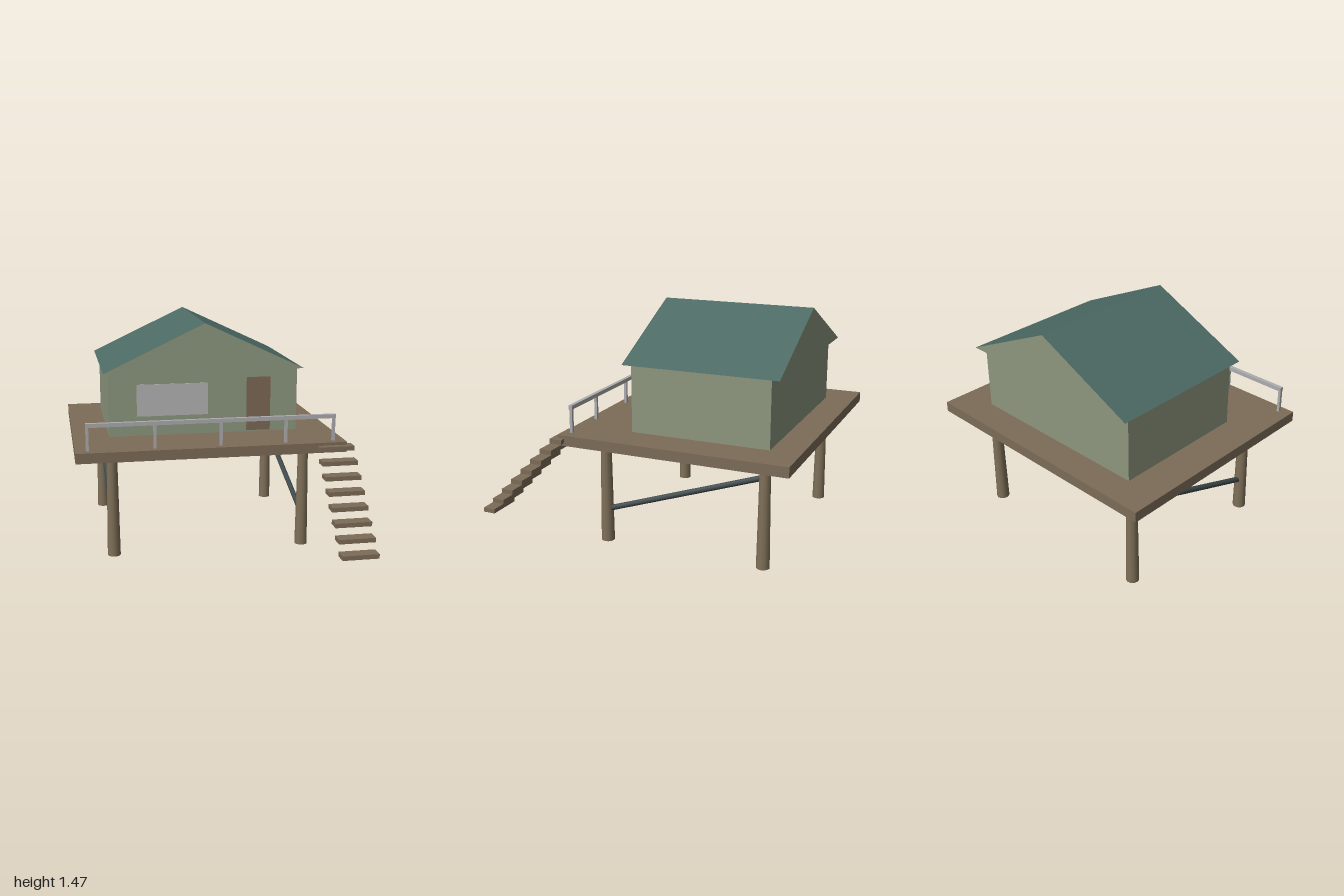
import * as THREE from 'three';

const mat = (name, color) => {
  const m = new THREE.MeshStandardMaterial({ color });
  m.name = name;
  return m;
};

export function createModel() {
  const model = new THREE.Group();
  model.name = 'stiltHouse';

  const wood = mat('deck wood', 0x7d6c58);
  const pole = mat('pole wood', 0x7f7058);
  const wall = mat('wall green', 0x8d977f);
  const roofing = mat('roof teal', 0x4c6a64);
  const glass = mat('window grey', 0xb5b5b5);
  const metal = mat('railing grey', 0xadadb0);
  const steel = mat('brace steel', 0x404b4d);
  const doorWood = mat('door brown', 0x7d6955);

  const add = (name, geometry, material) => {
    const mesh = new THREE.Mesh(geometry, material);
    mesh.name = name;
    model.add(mesh);
    return mesh;
  };
  // Box given by its extents along each axis
  const box = (name, material, [x0, x1], [y0, y1], [z0, z1]) =>
    add(name, new THREE.BoxGeometry(x1 - x0, y1 - y0, z1 - z0), material)
      .position.set((x0 + x1) / 2, (y0 + y1) / 2, (z0 + z1) / 2);

  const deckBottom = 0.673, deckTop = 0.738, eaves = 1.159;
  const frontZ = 0.247, backZ = -0.79;

  // Deck
  box('deck', wood, [-0.875, 0.834], [deckBottom, deckTop], [-1, 0.45]);

  // Tapered stilts, with a diagonal brace along each side
  for (const x of [-0.641, 0.604]) {
    for (const z of [frontZ, backZ]) {
      add('stilt', new THREE.CylinderGeometry(0.033, 0.042, deckBottom, 12), pole)
        .position.set(x, deckBottom / 2, z);
    }
    const low = new THREE.Vector3(x, 0.208, frontZ);
    const high = new THREE.Vector3(x, 0.571, backZ);
    const dir = high.clone().sub(low);
    const brace = add('brace', new THREE.CylinderGeometry(0.018, 0.018, dir.length(), 8), steel);
    brace.position.copy(low).add(high).multiplyScalar(0.5);
    brace.quaternion.setFromUnitVectors(new THREE.Vector3(0, 1, 0), dir.normalize());
  }

  // Cabin walls with window and door
  box('walls', wall, [-0.642, 0.603], [deckTop, eaves], [-0.814, 0.066]);
  box('window', glass, [-0.46, 0.006], [0.866, 1.075], [0.064, 0.071]);
  box('door', doorWood, [0.264, 0.423], [0.746, 1.103], [0.064, 0.071]);

  // Gabled roof: green gable ends, teal slopes and underside
  const gable = new THREE.Shape([
    new THREE.Vector2(-0.675, eaves),
    new THREE.Vector2(0.635, eaves),
    new THREE.Vector2(-0.02, 1.467),
  ]);
  const roof = add('roof',
    new THREE.ExtrudeGeometry(gable, { depth: 0.985, bevelEnabled: false }), [wall, roofing]);
  roof.position.z = -0.87;

  // Front railing
  box('handrail', metal, [-0.808, 0.768], [0.886, 0.911], [0.385, 0.41]);
  for (const x of [-0.799, -0.384, 0.03, 0.446, 0.757]) {
    box('railingPost', metal, [x - 0.009, x + 0.009], [deckTop, 0.886], [0.388, 0.406]);
  }

  // Floating stair treads
  for (let i = 0; i < 8; i++) {
    const y = 0.705 - i * 0.0754, z = 0.449 + i * 0.073;
    box('stairTread', wood, [0.643, 0.871], [y - 0.014, y + 0.014], [z - 0.04, z + 0.04]);
  }

  return model;
}
